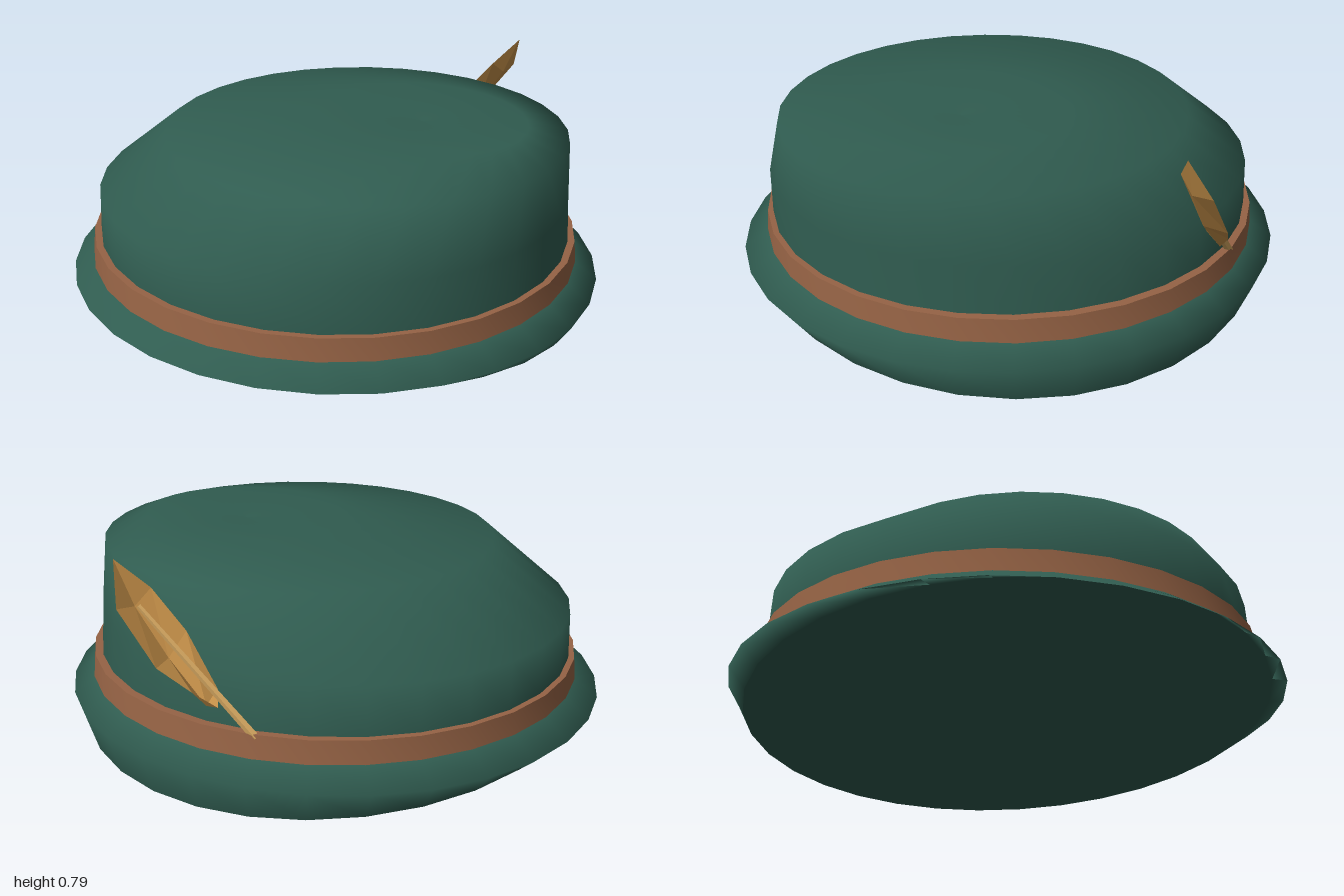
import * as THREE from 'three';

const SEG = 32;

// Lofts elliptical rings listed from top to bottom: [y, cx, rx, cz, rz, slope along x]
function loft(rings) {
  const pos = [], index = [];
  for (const [y, cx, rx, cz, rz, slope = 0] of rings) {
    for (let i = 0; i < SEG; i++) {
      const a = (i / SEG) * Math.PI * 2;
      const x = cx + rx * Math.cos(a);
      pos.push(x, y + slope * x, cz + rz * Math.sin(a));
    }
  }
  for (let r = 0; r < rings.length - 1; r++) {
    for (let i = 0; i < SEG; i++) {
      const j = (i + 1) % SEG;
      const a = r * SEG + i, b = r * SEG + j, c = a + SEG, d = b + SEG;
      index.push(a, b, c, b, d, c);
    }
  }
  const g = new THREE.BufferGeometry();
  g.setAttribute('position', new THREE.Float32BufferAttribute(pos, 3));
  g.setIndex(index);
  g.computeVertexNormals();
  return g;
}

// Folded vane: cross-sections of left edge, ridge and right edge
function vaneGeometry(sections) {
  const pos = [];
  for (let s = 0; s < sections.length - 1; s++) {
    for (let k = 0; k < 2; k++) {
      const a = sections[s][k], b = sections[s][k + 1];
      const c = sections[s + 1][k], d = sections[s + 1][k + 1];
      pos.push(...a, ...b, ...c, ...b, ...d, ...c);
    }
  }
  const g = new THREE.BufferGeometry();
  g.setAttribute('position', new THREE.Float32BufferAttribute(pos, 3));
  g.computeVertexNormals();
  return g;
}

export function createModel() {
  const felt = new THREE.MeshStandardMaterial({ color: 0x305c50 });
  felt.name = 'greenFelt';
  const leather = new THREE.MeshStandardMaterial({ color: 0x966345 });
  leather.name = 'brownLeather';
  const plume = new THREE.MeshStandardMaterial({ color: 0xc8924a, side: THREE.DoubleSide, flatShading: true });
  plume.name = 'goldenPlume';
  const shaft = new THREE.MeshStandardMaterial({ color: 0xd8aa62, flatShading: true });
  shaft.name = 'paleQuill';

  const hat = new THREE.Group();
  hat.name = 'featheredHat';
  const add = (name, geometry, material, parent = hat) => {
    const mesh = new THREE.Mesh(geometry, material);
    mesh.name = name;
    parent.add(mesh);
    return mesh;
  };

  // Crown leaning forward, with a shallow dent on top
  add('crown', loft([
    [0.705, 0.18, 0, 0.27, 0],
    [0.725, 0.18, 0.35, 0.275, 0.395],
    [0.67, 0.04, 0.71, 0.125, 0.725],
    [0.45, -0.025, 0.845, 0, 0.88],
    [0.28, -0.022, 0.858, 0, 0.885],
    [0.2, -0.02, 0.862, 0, 0.888],
  ]), felt);

  // Brim turned down towards the left side
  const rim = [0.091, -0.02, 0.925, 0, 0.94, -0.095];
  add('brim', loft([
    [0.215, -0.02, 0.86, 0, 0.885],
    [0.208, -0.02, 0.89, 0, 0.91],
    [0.148, -0.02, 0.965, 0, 1],
    rim,
  ]), felt);
  add('underside', loft([rim, [0.091, -0.02, 0, 0, 0, -0.095]]), felt);

  // Hat band: outer face and top edge
  const bandTop = [0.285, -0.02, 0.884, 0, 0.905];
  add('bandFace', loft([bandTop, [0.203, -0.02, 0.895, 0, 0.912]]), leather);
  add('bandEdge', loft([[0.285, -0.02, 0.85, 0, 0.875], bandTop]), leather);

  // Feather tucked into the band on the left side
  const feather = new THREE.Group();
  feather.name = 'feather';
  hat.add(feather);
  const root = [0.775, 0.36, -0.415], tip = [0.945, 0.8, -0.135];
  add('vane', vaneGeometry([
    [root, root, root],
    [[0.745, 0.4, -0.37], [0.8, 0.365, -0.39], [0.845, 0.42, -0.385]],
    [[0.785, 0.57, -0.27], [0.855, 0.5, -0.275], [0.925, 0.5, -0.32]],
    [[0.848, 0.7, -0.18], [0.91, 0.655, -0.185], [0.985, 0.67, -0.21]],
    [tip, tip, tip],
  ]), plume, feather);

  // Quill running along the fold of the vane
  const from = new THREE.Vector3(0.7, 0.27, -0.505), to = new THREE.Vector3(0.905, 0.66, -0.2);
  const along = to.clone().sub(from);
  const quill = add('quill', new THREE.CylinderGeometry(0.008, 0.014, along.length(), 5), shaft, feather);
  quill.position.copy(from).add(to).multiplyScalar(0.5);
  quill.quaternion.setFromUnitVectors(new THREE.Vector3(0, 1, 0), along.normalize());

  return hat;
}
